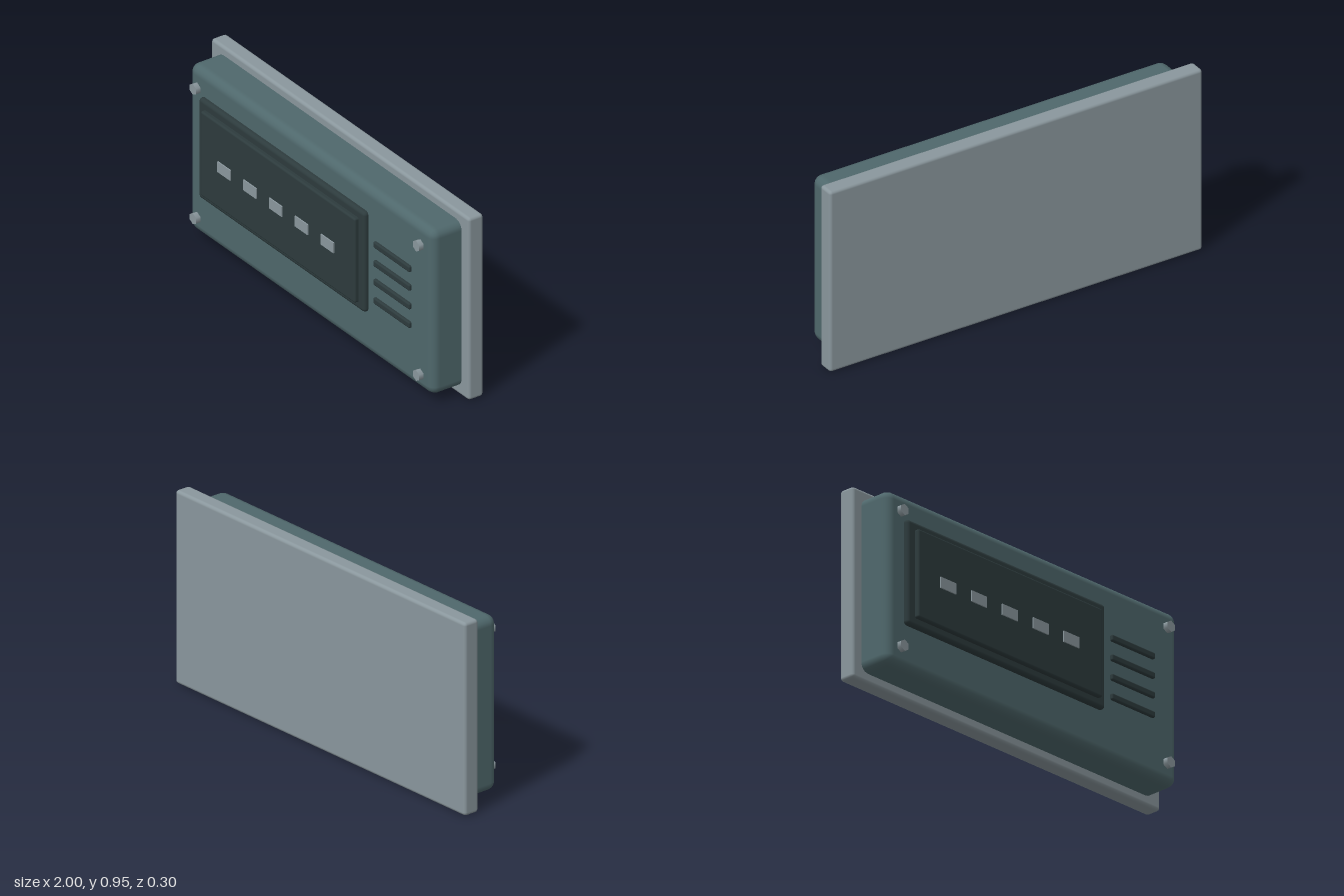
import * as THREE from 'three';
import { RoundedBoxGeometry } from 'three/addons/geometries/RoundedBoxGeometry.js';

function material(name, color) {
  const m = new THREE.MeshStandardMaterial({ color });
  m.name = name;
  return m;
}

export function createModel() {
  const model = new THREE.Group();
  model.name = 'wallControlPanel';
  const lightGrey = material('light grey metal', 0x8a979d);
  const teal = material('dull teal casing', 0x4f686c);
  const dark = material('dark slate', 0x2d3b3d);

  const add = (name, geometry, mat, x, y, z) => {
    const mesh = new THREE.Mesh(geometry, mat);
    mesh.name = name;
    mesh.position.set(x, y, z);
    model.add(mesh);
    return mesh;
  };

  // Rounded box given by its extents on each axis
  const box = (name, mat, [x0, x1], [y0, y1], [z0, z1], radius, segments = 2) =>
    add(name, new RoundedBoxGeometry(x1 - x0, y1 - y0, z1 - z0, segments, radius), mat,
      (x0 + x1) / 2, (y0 + y1) / 2, (z0 + z1) / 2);

  // Mounting plate and casing
  box('backPlate', lightGrey, [-1, 1], [0, 0.95], [-0.148, -0.065], 0.016);
  box('casing', teal, [-0.945, 0.945], [0.045, 0.907], [-0.12, 0.098], 0.044);

  // Display frame and screen
  box('displayFrame', dark, [-0.838, 0.45], [0.26, 0.782], [0.06, 0.122], 0.018);
  box('displayScreen', dark, [-0.79, 0.408], [0.3, 0.74], [0.1, 0.144], 0.01);

  // Row of indicator dashes
  for (let i = 0; i < 5; i++) {
    const x = -0.6 + i * 0.2;
    add('indicatorDash', new THREE.BoxGeometry(0.1, 0.054, 0.009), lightGrey, x, 0.517, 0.1455);
  }

  // Speaker slots
  for (let i = 0; i < 4; i++) {
    const y = 0.351 + i * 0.0973;
    box('speakerSlot', dark, [0.503, 0.784], [y - 0.016, y + 0.016], [0.08, 0.112], 0.008);
  }

  // Hexagonal corner screws, standing just proud of the casing
  const screw = new THREE.CylinderGeometry(0.028, 0.028, 0.024, 6).rotateX(Math.PI / 2);
  for (const x of [-0.865, 0.865]) {
    for (const y of [0.137, 0.812]) add('cornerScrew', screw, lightGrey, x, y, 0.119);
  }

  return model;
}
